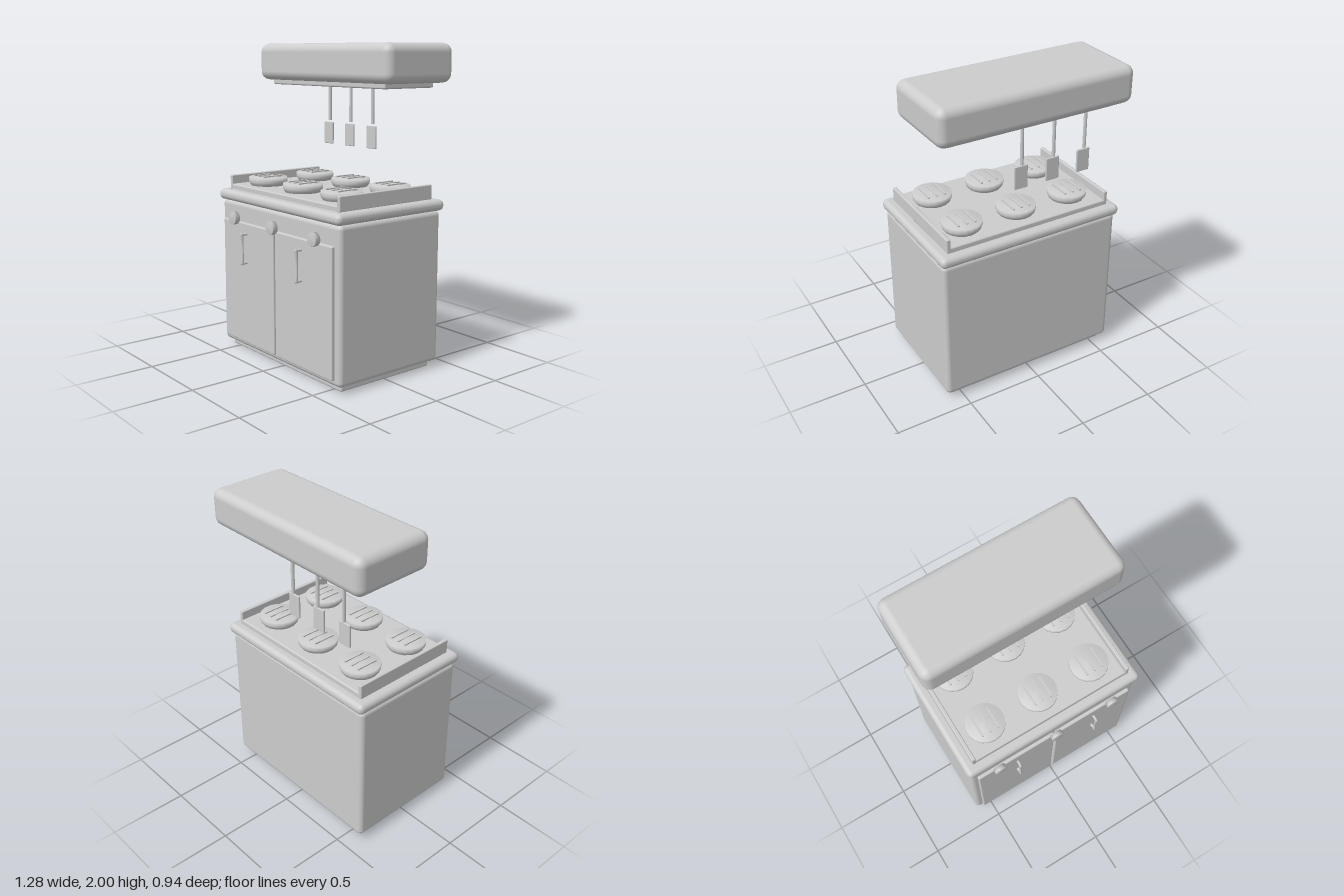
import * as THREE from 'three';
import { RoundedBoxGeometry } from 'three/addons/geometries/RoundedBoxGeometry.js';

const grey = new THREE.MeshStandardMaterial({ color: 0xcccccc });
grey.name = 'grey';

export function createModel() {
  const model = new THREE.Group();
  model.name = 'cooker';

  const add = (name, geometry, x = 0, y = 0, z = 0, parent = model) => {
    const mesh = new THREE.Mesh(geometry, grey);
    mesh.name = name;
    mesh.position.set(x, y, z);
    parent.add(mesh);
    return mesh;
  };
  // Rounded box given by its extents on each axis
  const box = (name, [x0, x1], [y0, y1], [z0, z1], r, parent = model) =>
    add(name, new RoundedBoxGeometry(x1 - x0, y1 - y0, z1 - z0, 3, r),
      (x0 + x1) / 2, (y0 + y1) / 2, (z0 + z1) / 2, parent);
  const lathe = (points, sides) =>
    new THREE.LatheGeometry(points.map(([r, y]) => new THREE.Vector2(r, y)), sides);

  // Cabinet
  box('plinth', [-0.57, 0.57], [0, 0.06], [-0.36, 0.345], 0.012);
  box('cabinet', [-0.61, 0.61], [0.04, 0.995], [-0.405, 0.388], 0.03);
  box('worktop', [-0.625, 0.625], [0.993, 1.062], [-0.43, 0.412], 0.032);
  box('hobPlate', [-0.552, 0.552], [1.045, 1.095], [-0.372, 0.352], 0.01);

  for (const s of [-1, 1]) {
    box('sideRail', [s * 0.5525 - 0.0125, s * 0.5525 + 0.0125], [1.06, 1.152], [-0.372, 0.355], 0.006);
    box('door', [s * 0.285 - 0.278, s * 0.285 + 0.278], [0.08, 0.872], [0.37, 0.41], 0.008);

    // Bowed, waisted door handle on two short posts
    const handle = new THREE.Group();
    handle.name = 'doorHandle';
    handle.position.set(s * 0.287, 0.715, 0);
    model.add(handle);
    const bar = lathe([[0, -0.105], [0.008, -0.102], [0.011, -0.09], [0.009, -0.06], [0.006, 0],
      [0.009, 0.06], [0.011, 0.09], [0.008, 0.102], [0, 0.105]], 10);
    const pos = bar.attributes.position;
    for (let i = 0; i < pos.count; i++) {
      const t = pos.getY(i) / 0.105;
      pos.setZ(i, pos.getZ(i) - 0.007 * (1 - t * t));
    }
    bar.computeVertexNormals();
    add('handleBar', bar, 0, 0, 0.456, handle);
    for (const e of [-1, 1]) {
      add('handlePost', new THREE.CylinderGeometry(0.009, 0.009, 0.04, 10), 0, e * 0.093, 0.438, handle)
        .rotation.x = Math.PI / 2;
    }
  }

  // Control knobs
  const knobGeometry = lathe([[0, 0], [0.04, 0.002], [0.042, 0.034], [0.039, 0.038], [0, 0.04]], 20);
  for (const x of [-0.417, 0, 0.417]) {
    add('knob', knobGeometry, x, 0.893, 0.405).rotation.x = Math.PI / 2;
  }

  // Six burners with three bars each
  const burnerGeometry = lathe([[0, 0], [0.105, 0], [0.12, 0.022], [0.125, 0.035], [0.124, 0.062], [0, 0.07]], 18);
  const barGeometry = new THREE.BoxGeometry(0.012, 0.012, 0.144);
  for (const x of [-0.375, 0, 0.375]) {
    for (const z of [0.185, -0.2]) {
      const burner = new THREE.Group();
      burner.name = 'burner';
      burner.position.set(x, 1.085, z);
      model.add(burner);
      add('burnerDisc', burnerGeometry, 0, 0, 0, burner);
      for (const dx of [-0.055, 0, 0.055]) add('burnerBar', barGeometry, dx, 0.067, 0, burner);
    }
  }

  // Extractor hood
  box('hood', [-0.64, 0.64], [1.765, 2], [-0.47, 0.07], 0.055);
  box('hoodFilter', [-0.55, 0.55], [1.735, 1.785], [-0.385, 0.012], 0.01);

  // Hanging utensils
  for (const x of [-0.387, -0.168, 0.05]) {
    add('utensilRod', new THREE.CylinderGeometry(0.011, 0.011, 0.26, 10), x, 1.618, -0.342);
    box('utensilBlade', [x - 0.045, x + 0.045], [1.33, 1.478], [-0.34, -0.326], 0.005);
  }
  return model;
}
